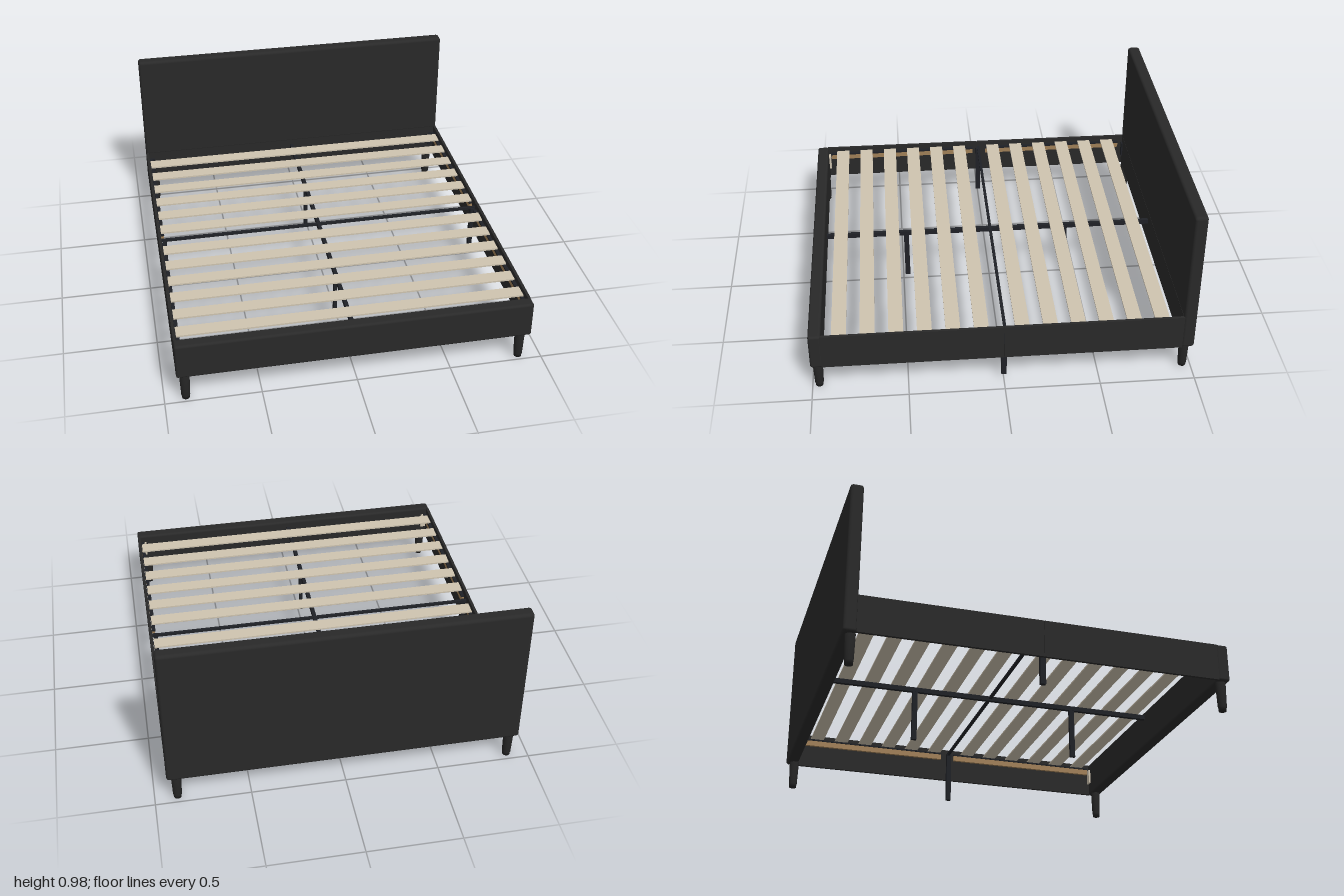
import * as THREE from 'three';
import { RoundedBoxGeometry } from 'three/addons/geometries/RoundedBoxGeometry.js';

const mat = (name, color) => new THREE.MeshStandardMaterial({ name, color });

export function createModel() {
  const bed = new THREE.Group();
  bed.name = 'bedFrame';
  const fabric = mat('charcoalFabric', 0x292929);
  const legBlack = mat('legBlack', 0x242424);
  const steel = mat('darkSteel', 0x1f2126);
  const slatWood = mat('paleSlatWood', 0xcfc4b0);
  const ledgeWood = mat('brownWood', 0xa08058);

  const add = (name, geometry, material, x, y, z) => {
    const mesh = new THREE.Mesh(geometry, material);
    mesh.name = name;
    mesh.position.set(x, y, z);
    bed.add(mesh);
  };
  // box given by its ranges on each axis, with optional rounded edges
  const box = (name, material, [x0, x1], [y0, y1], [z0, z1], radius = 0) => {
    const size = [x1 - x0, y1 - y0, z1 - z0];
    const geometry = radius
      ? new RoundedBoxGeometry(...size, 4, radius)
      : new THREE.BoxGeometry(...size);
    add(name, geometry, material, (x0 + x1) / 2, (y0 + y1) / 2, (z0 + z1) / 2);
  };

  // upholstered boards with soft edges
  box('headboard', fabric, [-0.932, 0.932], [0.155, 0.975], [-1, -0.932], 0.016);
  box('footboard', fabric, [-0.932, 0.932], [0.155, 0.356], [0.935, 1], 0.012);
  box('headboardSeam', legBlack, [-0.915, 0.915], [0.353, 0.357], [-0.934, -0.93]);

  // tapered corner leg with a narrower foot
  const legProfile = [[0, 0], [0.02, 0], [0.021, 0.018], [0.023, 0.02], [0.027, 0.158], [0, 0.158]]
    .map(([r, y]) => new THREE.Vector2(r, y));
  const legGeometry = new THREE.LatheGeometry(legProfile, 20);

  for (const side of [-1, 1]) {
    const span = (a, b) => (side > 0 ? [a, b] : [-b, -a]);

    // side rails, each in two lengths meeting at the middle
    box('sideRailFront', fabric, span(0.916, 0.931), [0.156, 0.354], [0.001, 0.94]);
    box('sideRailBack', fabric, span(0.916, 0.931), [0.156, 0.354], [-0.936, -0.001]);

    // slat ledges with dark holder strips
    for (const [z0, z1] of [[-0.9, -0.05], [0.03, 0.92]]) {
      box('slatLedge', ledgeWood, span(0.898, 0.914), [0.284, 0.315], [z0, z1]);
      box('slatHolder', steel, span(0.895, 0.914), [0.315, 0.325], [z0, z1]);
    }

    // corner legs and the middle leg under each rail
    add('frontLeg', legGeometry, legBlack, side * 0.885 - 0.004, 0, 0.964);
    add('backLeg', legGeometry, legBlack, side * 0.885 - 0.004, 0, -0.957);
    box('sideSupportLeg', steel, span(0.886, 0.908), [0.02, 0.318], [-0.016, 0.012]);

    // small corner blocks inside the frame
    box('cornerBlockFront', slatWood, span(0.882, 0.914), [0.225, 0.312], [0.924, 0.936]);
    box('cornerBlockBack', steel, span(0.882, 0.914), [0.225, 0.312], [-0.934, -0.924]);
  }

  // slats, six on each half
  for (const start of [-0.826, 0.115]) {
    for (let i = 0; i < 6; i++) {
      const z = start + i * 0.146;
      box('slat', slatWood, [-0.912, 0.912], [0.325, 0.334], [z - 0.038, z + 0.038]);
    }
  }

  // steel support under the slats
  box('centerBeam', steel, [-0.025, -0.005], [0.299, 0.325], [-0.925, 0.925]);
  box('crossBar', steel, [-0.916, 0.916], [0.309, 0.324], [-0.014, 0.001]);
  for (const z of [0.475, -0.437]) {
    box('centerLeg', steel, [-0.024, -0.006], [0.02, 0.3], [z - 0.014, z + 0.014]);
  }
  return bed;
}
